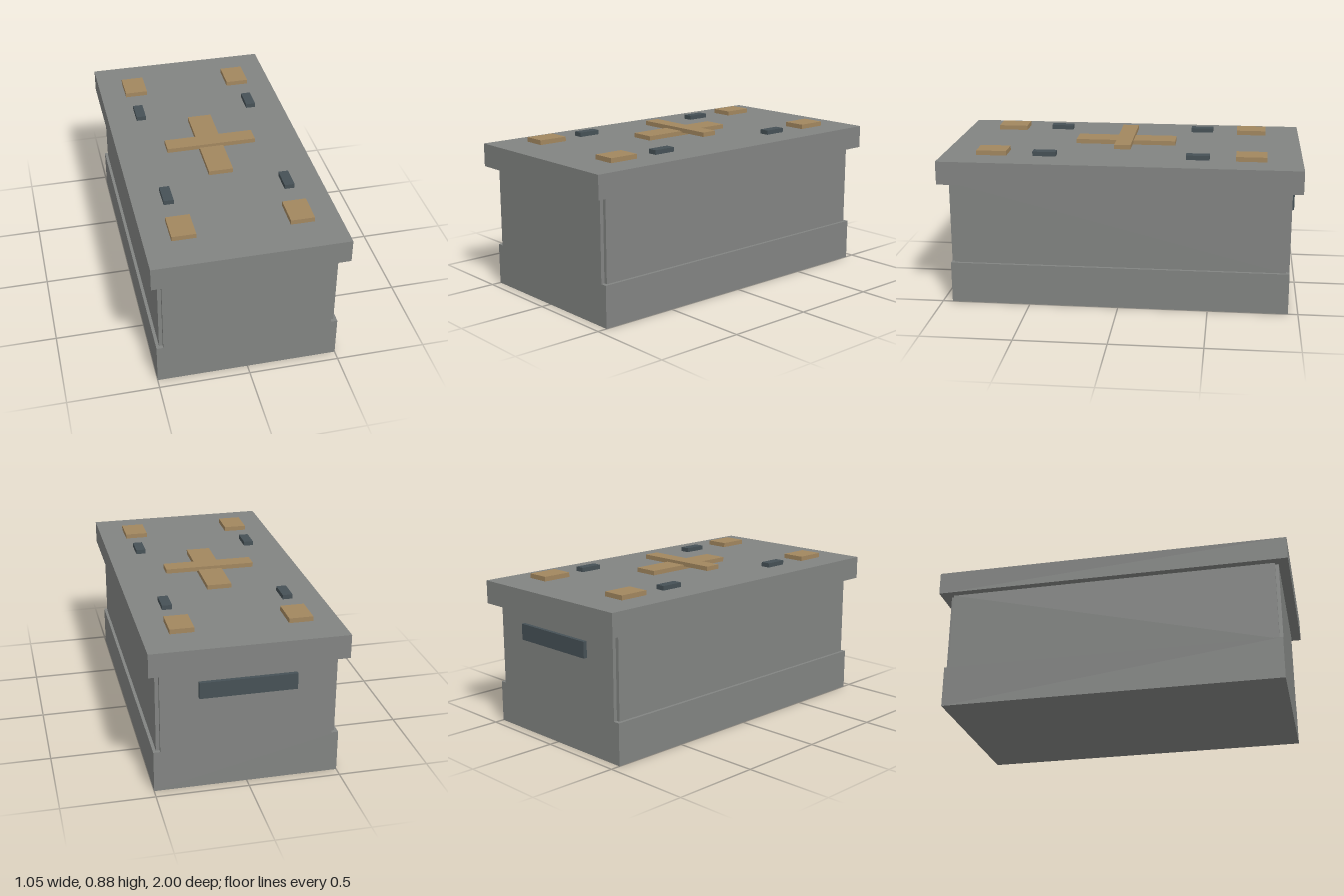
import * as THREE from 'three';

export function createModel() {
  const group = new THREE.Group();
  const material = (name, color) => {
    const m = new THREE.MeshStandardMaterial({ color });
    m.name = name;
    return m;
  };
  const stone = material('greyStone', 0x828482);
  const wood = material('tanWood', 0xa2875f);
  const iron = material('darkIron', 0x465156);

  const add = (name, geometry, mat, x, y, z) => {
    const mesh = new THREE.Mesh(geometry, mat);
    mesh.name = name;
    mesh.position.set(x, y, z);
    group.add(mesh);
    return mesh;
  };
  // Box given by its size, bottom height and centre
  const box = (name, mat, w, h, d, bottom, x = 0, z = 0) =>
    add(name, new THREE.BoxGeometry(w, h, d), mat, x, bottom + h / 2, z);

  // Plinth
  box('base', stone, 1.0, 0.233, 1.89, 0);

  // Chest wall: rectangle with a small square notch at each corner
  const X = 0.483, Z = 0.945, n = 0.02;
  const outline = new THREE.Shape([
    [X, n - Z], [X, Z - n], [X - n, Z - n], [X - n, Z],
    [n - X, Z], [n - X, Z - n], [-X, Z - n], [-X, n - Z],
    [n - X, n - Z], [n - X, -Z], [X - n, -Z], [X - n, n - Z],
  ].map(([x, z]) => new THREE.Vector2(x, z)));
  const wall = new THREE.ExtrudeGeometry(outline, { depth: 0.462, bevelEnabled: false });
  wall.rotateX(-Math.PI / 2);
  add('body', wall, stone, 0, 0.233, 0);

  // Overhanging lid
  box('lid', stone, 1.05, 0.13, 2.0, 0.695);

  // Crossed boards on the lid
  box('longBoard', wood, 0.136, 0.025, 0.57, 0.835);
  box('crossBoard', wood, 0.506, 0.025, 0.092, 0.852);

  // Corner pads and small clips, mirrored over both axes
  for (const sx of [-1, 1]) {
    for (const sz of [-1, 1]) {
      box('cornerPad', wood, 0.13, 0.026, 0.17, 0.831, sx * 0.315, sz * 0.72);
      box('clip', iron, 0.055, 0.025, 0.13, 0.828, sx * 0.333, sz * 0.426);
    }
  }

  // Handle plate on the back
  box('backHandle', iron, 0.52, 0.09, 0.022, 0.53, 0, -0.955);

  return group;
}
